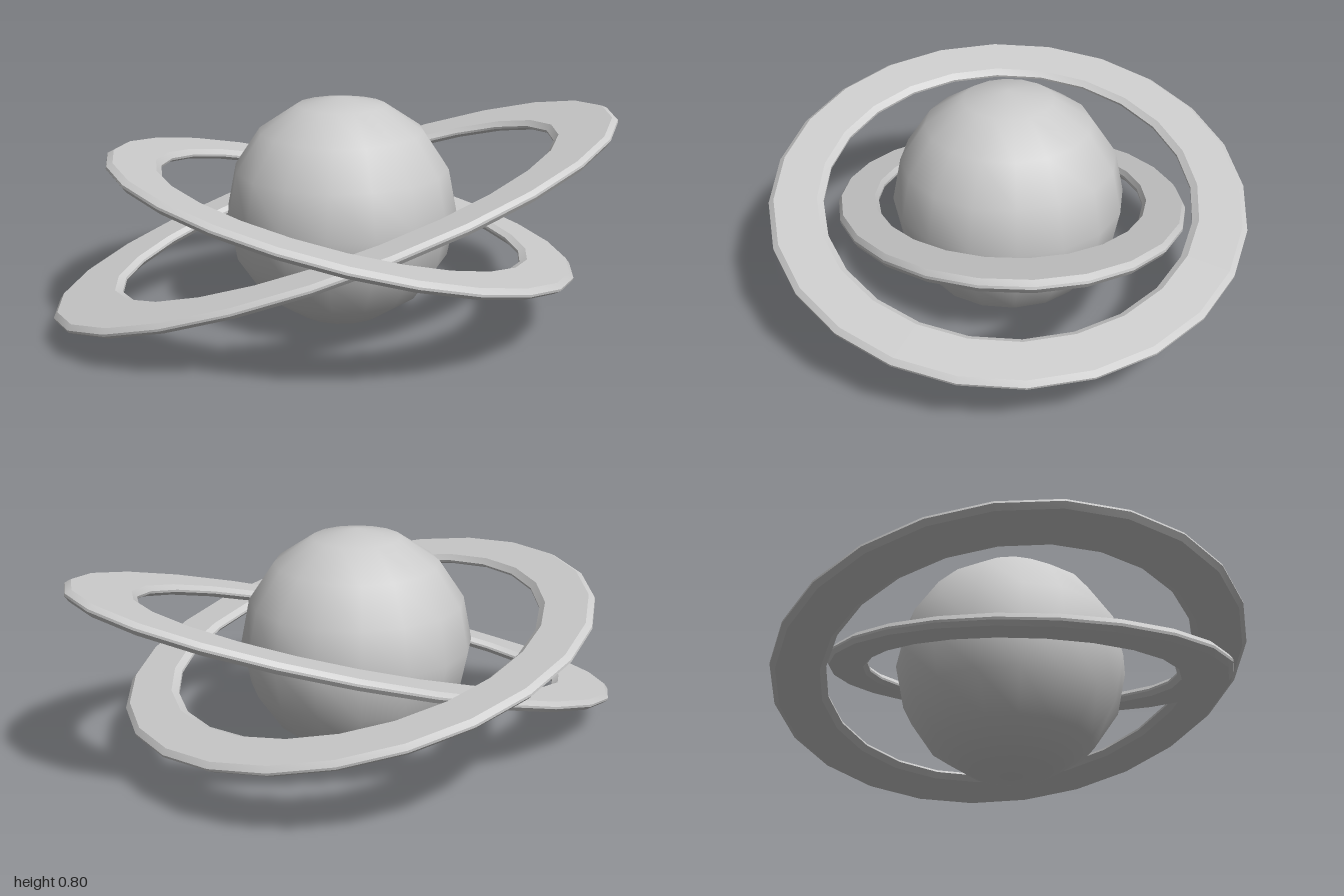
import * as THREE from 'three';
import { toCreasedNormals } from 'three/addons/utils/BufferGeometryUtils.js';

const material = new THREE.MeshStandardMaterial({ color: 0xcccccc });

// Flat ring with chamfered rims: a closed cross-section swept round the y axis
function makeRing(name, inner, outer, depthScale, tilt) {
  const h = 0.019;
  const profile = [
    [outer - 0.018, -h], [outer, -0.004], [outer, 0.004], [outer - 0.018, h],
    [inner + 0.022, h], [inner, 0.004], [inner, -0.004], [inner + 0.022, -h],
    [outer - 0.018, -h],
  ].map(([r, y]) => new THREE.Vector2(r, y));
  const geometry = new THREE.LatheGeometry(profile, 24);
  geometry.scale(1, 1, depthScale);
  const ring = new THREE.Mesh(toCreasedNormals(geometry, 0.5), material);
  ring.name = name;
  ring.position.y = 0.396;
  ring.rotation.z = tilt;
  return ring;
}

export function createModel() {
  const model = new THREE.Group();
  model.name = 'ringedPlanet';

  // Central globe
  const globe = new THREE.Mesh(new THREE.SphereGeometry(0.4, 16, 8), material);
  globe.name = 'globe';
  globe.position.y = 0.4;
  model.add(globe);

  // Oval ring rising to the left, round ring rising to the right
  model.add(makeRing('ovalRing', 0.8, 1.043, 0.563, 0.292));
  model.add(makeRing('roundRing', 0.64, 0.828, 1, -0.255));
  return model;
}
